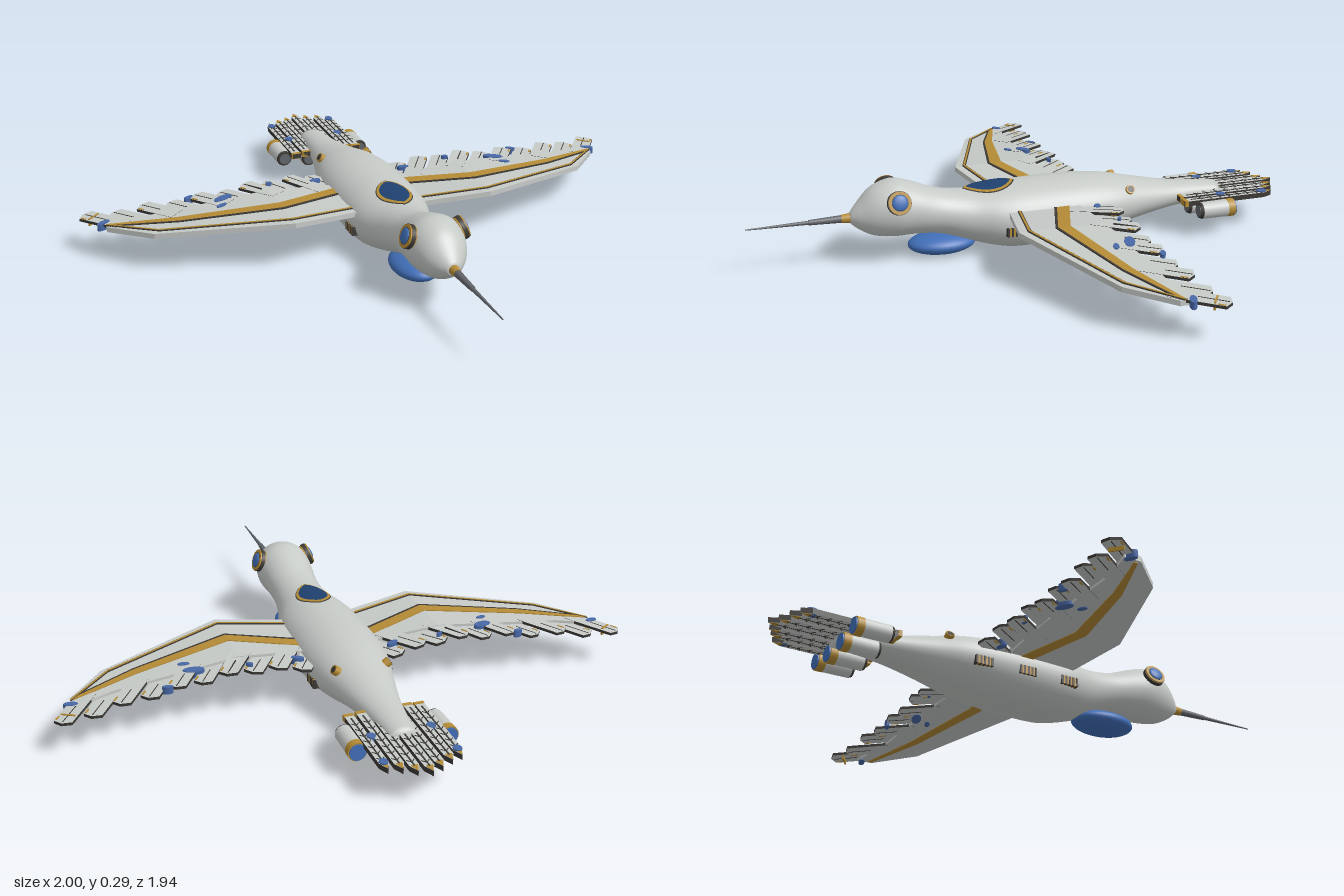
import * as THREE from 'three';

const mat = (name, color) => {
  const m = new THREE.MeshStandardMaterial({ color });
  m.name = name;
  return m;
};

export function createModel() {
  const model = new THREE.Group();
  model.name = 'birdAircraft';
  const shell = mat('paleShell', 0xc6cac7), gold = mat('gold', 0xb58c36), dark = mat('darkTrim', 0x3d3a36);
  const blue = mat('blue', 0x416fb8), navy = mat('navyGlass', 0x1f416f), steel = mat('steel', 0x62656a);
  const slate = mat('slateBlue', 0x4868a6);

  const add = (name, geo, material) => {
    const m = new THREE.Mesh(geo, material);
    m.name = name;
    model.add(m);
  };
  // Adds a part on the left and its reflection on the right, with winding corrected
  const addPair = (name, geo, material) => {
    add(name + 'Left', geo, material);
    const g = geo.index ? geo.toNonIndexed() : geo.clone();
    g.scale(-1, 1, 1);
    for (const a of Object.values(g.attributes)) {
      const n = a.itemSize;
      for (let i = 0; i < a.count; i += 3) {
        for (let k = 0; k < n; k++) {
          const p = (i + 1) * n + k, q = (i + 2) * n + k;
          [a.array[p], a.array[q]] = [a.array[q], a.array[p]];
        }
      }
    }
    add(name + 'Right', g, material);
  };

  // Fuselage: z, top, bottom, half width
  const stations = [
    [0.62, 0.185, 0.15, 0.02], [0.59, 0.22, 0.125, 0.05], [0.54, 0.268, 0.1, 0.082], [0.47, 0.29, 0.09, 0.1],
    [0.4, 0.272, 0.09, 0.094], [0.31, 0.238, 0.08, 0.088], [0.21, 0.225, 0.045, 0.103], [0.11, 0.23, 0.015, 0.136],
    [0.02, 0.236, 0.004, 0.146], [-0.17, 0.236, 0.012, 0.146], [-0.3, 0.224, 0.03, 0.13], [-0.41, 0.2, 0.053, 0.1],
    [-0.54, 0.173, 0.075, 0.07], [-0.65, 0.16, 0.085, 0.054], [-0.74, 0.15, 0.09, 0.046],
  ];
  const heights = new THREE.CatmullRomCurve3(stations.map(s => new THREE.Vector3(s[0], s[1], s[2])), false, 'catmullrom');
  const widths = new THREE.CatmullRomCurve3(stations.map(s => new THREE.Vector3(s[0], s[3], 0)), false, 'catmullrom');
  const pos = [], idx = [], RINGS = 70, SIDES = 40;
  for (let i = -1; i <= RINGS + 1; i++) {
    const t = Math.min(Math.max(i / RINGS, 0), 1), h = heights.getPoint(t), w = widths.getPoint(t).y;
    const f = i < 0 || i > RINGS ? 0.001 : 1;
    for (let j = 0; j < SIDES; j++) {
      const a = j / SIDES * Math.PI * 2;
      pos.push(w * f * Math.cos(a), (h.y + h.z) / 2 + (h.y - h.z) / 2 * f * Math.sin(a), h.x);
      if (i > RINGS) continue;
      const r = (i + 1) * SIDES, n = (j + 1) % SIDES;
      idx.push(r + j, r + SIDES + j, r + n, r + n, r + SIDES + j, r + SIDES + n);
    }
  }
  const body = new THREE.BufferGeometry();
  body.setAttribute('position', new THREE.Float32BufferAttribute(pos, 3));
  body.setIndex(idx);
  body.computeVertexNormals();
  add('fuselage', body, shell);

  // Beak: stepped needle
  const rod = (rFront, rBack, z0, z1, y = 0.168, x = 0) =>
    new THREE.CylinderGeometry(rFront, rBack, Math.abs(z1 - z0), 20).rotateX(Math.PI / 2).translate(x, y, (z0 + z1) / 2);
  add('beakCollar', rod(0.014, 0.019, 0.6, 0.65), gold);
  add('beakBase', rod(0.009, 0.013, 0.65, 0.76), steel);
  add('beakTip', rod(0.002, 0.007, 0.76, 0.97), steel);

  // Eyes, tilted to follow the head
  const disc = (r, d) => new THREE.CylinderGeometry(r, r, d, 28).rotateZ(-Math.PI / 2);
  const eye = g => g.rotateZ(0.36).translate(0.093, 0.234, 0.47);
  addPair('eyeSocket', eye(disc(0.041, 0.014)), dark);
  addPair('eyeRing', eye(disc(0.039, 0.024)), gold);
  addPair('eyeRim', eye(disc(0.0285, 0.026)), dark);
  addPair('eyeLens', eye(new THREE.SphereGeometry(0.027, 24, 14).scale(0.3, 1, 1).translate(0.0125, 0, 0)), blue);

  // Canopy: thin leaf-shaped skins following the back
  const skin = (w, l, lift) => {
    const g = new THREE.PlaneGeometry(2, 2, 12, 24), p = g.attributes.position;
    for (let i = 0; i < p.count; i++) {
      const v = -p.getY(i), z = 0.13 + v * l, x = p.getX(i) * w * Math.pow(1 - v * v, 0.75) * (1 - 0.12 * v);
      const bodyW = 0.148 - 1.02 * z * z, bodyH = 0.118 - 0.13 * z;
      p.setXYZ(i, x, 0.2375 - 0.06 * z - bodyH * (1 - Math.sqrt(1 - (x / bodyW) ** 2)) + lift, z);
    }
    g.computeVertexNormals();
    return g;
  };
  add('canopyRim', skin(0.061, 0.094, 0.004), dark);
  add('canopyFrame', skin(0.058, 0.09, 0.006), gold);
  add('canopyGlass', skin(0.049, 0.079, 0.008), navy);

  // Belly pod
  add('bellyPod', new THREE.SphereGeometry(1, 36, 20).scale(0.08, 0.037, 0.12).translate(0, 0.042, 0.3), blue);

  // Side vents and rear ports
  for (const [z, x] of [[0.075, 0.133], [-0.09, 0.133], [-0.255, 0.126]]) {
    addPair('ventFrame', new THREE.BoxGeometry(0.028, 0.029, 0.064).translate(x, 0.1, z), gold);
    for (let i = -2; i <= 2; i++) {
      addPair('ventBar', new THREE.BoxGeometry(0.03, 0.031, 0.0075).translate(x, 0.1, z + i * 0.0145), dark);
    }
  }
  const port = g => g.rotateZ(0.6).translate(0.086, 0.181, -0.365);
  addPair('portRing', port(disc(0.016, 0.03)), gold);
  addPair('portHole', port(disc(0.0115, 0.032)), dark);

  // Wing height along the span
  const wingY = x => x < 0.36 ? 0.155 + (x - 0.1) * 0.073 : 0.174 - (x - 0.36) * 0.088;
  const bend = geo => {
    const p = geo.attributes.position;
    for (let i = 0; i < p.count; i++) p.setY(i, p.getY(i) + wingY(p.getX(i)));
    geo.computeVertexNormals();
    return geo;
  };
  // Plate through spanwise stations of x, front z, back z
  const strip = (rows, thick, lift = 0) => {
    const p = [], f = [];
    rows.forEach(([x, zf, zb], i) => {
      const u = lift + thick / 2, d = lift - thick / 2;
      p.push(x, u, zf, x, u, zb, x, d, zb, x, d, zf);
      if (i === rows.length - 1) return;
      for (let k = 0; k < 4; k++) {
        const a = i * 4 + k, b = i * 4 + (k + 1) % 4;
        f.push(a, a + 4, b, b, a + 4, b + 4);
      }
    });
    const e = (rows.length - 1) * 4;
    f.push(0, 1, 2, 0, 2, 3, e, e + 2, e + 1, e, e + 3, e + 2);
    const g = new THREE.BufferGeometry();
    g.setAttribute('position', new THREE.Float32BufferAttribute(p, 3));
    g.setIndex(f);
    return bend(g.toNonIndexed());
  };
  addPair('wingPanel', strip([[0.08, 0.085, -0.16], [0.36, 0.14, -0.16], [0.8, -0.035, -0.19], [0.93, -0.17, -0.23]], 0.018), shell);
  addPair('wingBand', strip([[0.1, -0.087, -0.133], [0.36, 0.006, -0.038], [0.7, -0.083, -0.115], [0.92, -0.175, -0.188]], 0.024), gold);
  addPair('wingBandEdge', strip([[0.1, -0.077, -0.087], [0.36, 0.015, 0.006], [0.7, -0.076, -0.083], [0.92, -0.169, -0.175]], 0.005, 0.01), dark);
  const lead = [[0.1, 0.06], [0.36, 0.112], [0.78, -0.045], [0.93, -0.18]];
  addPair('leadingStripe', strip(lead.map(([x, z]) => [x, z, z - 0.013]), 0.005, 0.01), dark);
  addPair('leadingStripeCore', strip(lead.map(([x, z]) => [x, z - 0.003, z - 0.01]), 0.006, 0.011), gold);

  // Feather pointing to -z, light faces with dark edges
  const feather = (w, l, point, thick) => {
    const s = new THREE.Shape([[-w / 2, 0], [w / 2, 0], [w / 2, l - point], [0, l], [-w / 2, l - point]].map(p => new THREE.Vector2(...p)));
    return new THREE.ExtrudeGeometry(s, { depth: thick, bevelEnabled: false }).rotateX(-Math.PI / 2).translate(0, -thick / 2, 0);
  };

  // Wing feathers, swept outward so the blunt ends make a saw-toothed edge
  for (let i = 0; i < 10; i++) {
    const t = i / 9, x = 0.07 + 0.8 * t, z = -0.1 - 0.06 * t, a = 0.55 + 0.08 * t;
    const len = 0.21 - 0.045 * Math.sin(Math.PI * t) - 0.017 * t, lift = i % 2 ? 0.005 : -0.005;
    const place = g => bend(g.rotateY(-a).translate(x, lift, z));
    addPair('wingFeather', place(feather(0.064, len, 0.012, 0.01)), [shell, dark]);
    addPair('wingFeatherShaft', place(new THREE.BoxGeometry(0.003, 0.012, len * 0.5).translate(0, 0, -len * 0.7)), dark);
    addPair('wingFeatherGold', place(new THREE.BoxGeometry(0.006, 0.0125, 0.024).translate(0.027, 0, -len + 0.028)), gold);
  }
  addPair('wingTipTrim', bend(new THREE.BoxGeometry(0.05, 0.026, 0.006).rotateY(-0.63).translate(0.955, 0, -0.275)), gold);

  // Blue wing markings, showing above and below: x, z, half length
  for (const [x, z, r] of [[0.17, -0.21, 0.022], [0.34, -0.22, 0.012], [0.52, -0.18, 0.036], [0.54, -0.125, 0.02], [0.625, -0.25, 0.018], [0.935, -0.21, 0.024]]) {
    addPair('wingMarking', bend(new THREE.CylinderGeometry(r, r, 0.025, 12).scale(1, 1, 0.5).rotateY(-0.35).translate(x, 0, z)), slate);
  }

  // Tail fan
  for (let i = -3; i <= 3; i++) {
    const x = i * 0.04, len = 0.41 - Math.abs(i) * 0.0205, y = 0.125 - (Math.abs(i) % 2) * 0.003;
    const put = g => g.translate(x, y, -0.56);
    add('tailFeather', put(feather(0.032, len, 0.035, 0.018)), [shell, dark]);
    add('tailFeatherTip', feather(0.02, 0.034, 0.026, 0.02).translate(x, y, -0.56 - len + 0.036), gold);
    add('tailFeatherShaft', put(new THREE.BoxGeometry(0.005, 0.021, len - 0.06).translate(0, 0, -len / 2)), dark);
    add('tailFeatherRoot', put(new THREE.BoxGeometry(0.034, 0.021, 0.014).translate(0, 0, -0.007)), gold);
    for (let k = 0; k < 7; k++) for (const s of [-1, 1]) {
      const barb = new THREE.BoxGeometry(0.003, 0.0205, 0.017).rotateY(s * 0.7).translate(s * 0.007, 0, -0.07 - k * (len - 0.13) / 6);
      add('tailFeatherBarb', put(barb), dark);
    }
  }
  for (const [x, z] of [[0.1, -0.715], [0.12, -0.87]]) {
    addPair('tailMarking', new THREE.CylinderGeometry(0.018, 0.018, 0.023, 10).scale(0.8, 1, 1).translate(x, 0.124, z), slate);
  }

  // Four engines beneath the tail
  for (const [x, y] of [[0.153, 0.098], [0.054, 0.084]]) {
    addPair('engineShell', rod(0.03, 0.031, -0.615, -0.712, y, x), shell);
    addPair('engineLip', rod(0.026, 0.03, -0.606, -0.616, y, x), dark);
    addPair('engineIntake', rod(0.021, 0.021, -0.604, -0.62, y, x), steel);
    addPair('engineRing', rod(0.032, 0.032, -0.712, -0.738, y, x), gold);
    addPair('engineNozzle', rod(0.028, 0.028, -0.72, -0.743, y, x), blue);
  }
  return model;
}
